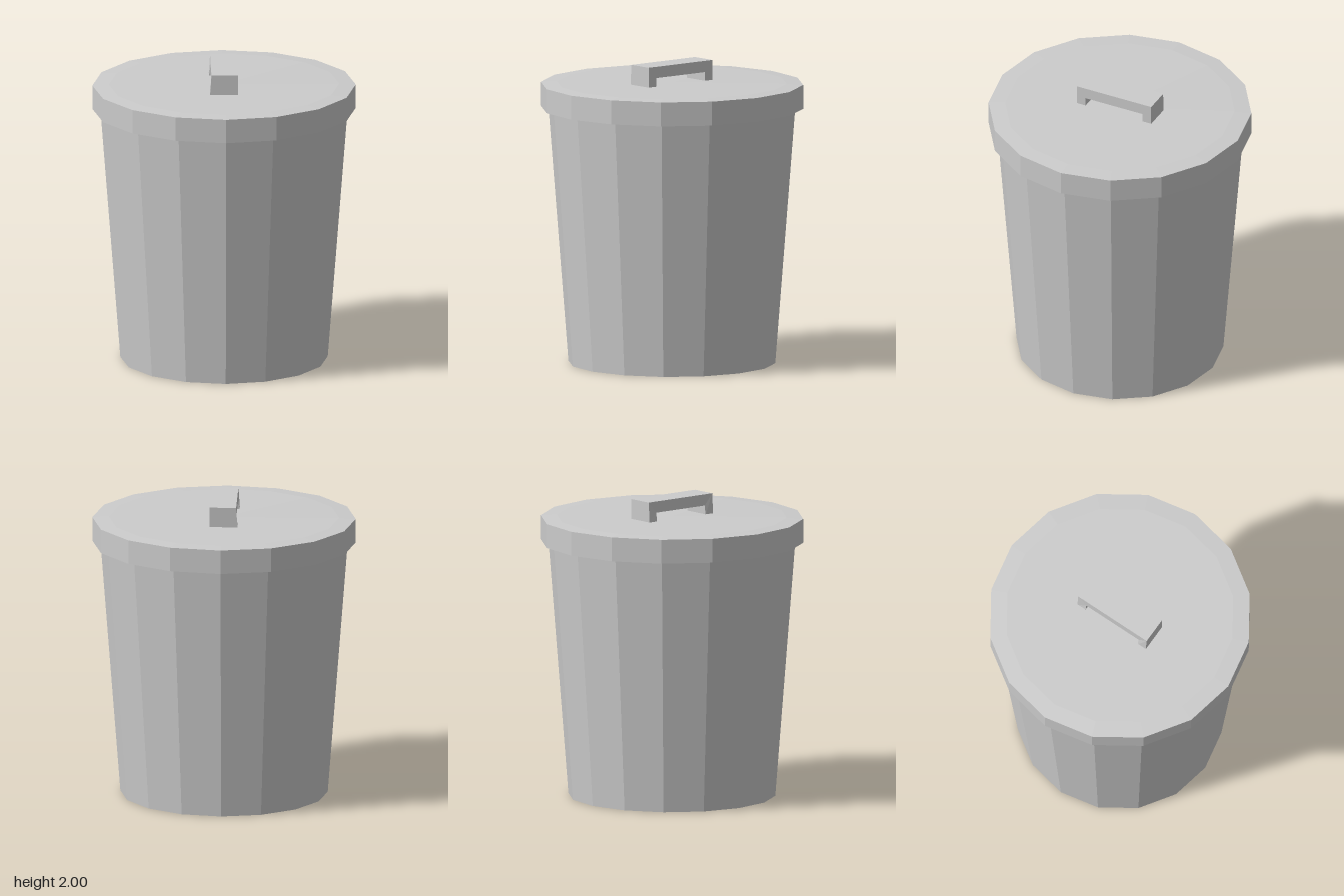
import * as THREE from 'three';

const SIDES = 16;

export function createModel() {
  const model = new THREE.Group();
  model.name = 'trashCan';
  const material = new THREE.MeshStandardMaterial({ color: 0xcccccc, flatShading: true });

  const add = (name, geometry) => {
    const mesh = new THREE.Mesh(geometry, material);
    mesh.name = name;
    model.add(mesh);
  };
  const turned = (profile) =>
    new THREE.LatheGeometry(profile.map(([r, y]) => new THREE.Vector2(r, y)), SIDES);

  // Tapered bin with a closed bottom
  add('bin', turned([[0, 0], [0.685, 0], [0.817, 1.7]]));

  // Lid: flat underside, straight rim and a barely raised top
  add('lid', turned([[0, 1.7], [0.87, 1.7], [0.87, 1.86], [0.76, 1.866], [0, 1.868]]));

  // Handle: a square bridge running front to back
  const outline = new THREE.Shape(
    [
      [-0.275, 1.86], [-0.21, 1.86], [-0.21, 1.925], [0.21, 1.925],
      [0.21, 1.86], [0.275, 1.86], [0.275, 2], [-0.275, 2],
    ].map(([z, y]) => new THREE.Vector2(z, y))
  );
  const handle = new THREE.ExtrudeGeometry(outline, { depth: 0.175, bevelEnabled: false });
  handle.translate(0, 0, -0.0875).rotateY(Math.PI / 2);

  // Feet flare slightly to the right side
  const pos = handle.attributes.position;
  for (let i = 0; i < pos.count; i++) {
    if (pos.getY(i) < 1.9 && pos.getX(i) < 0) pos.setX(i, -0.097);
  }
  add('handle', handle);

  return model;
}
